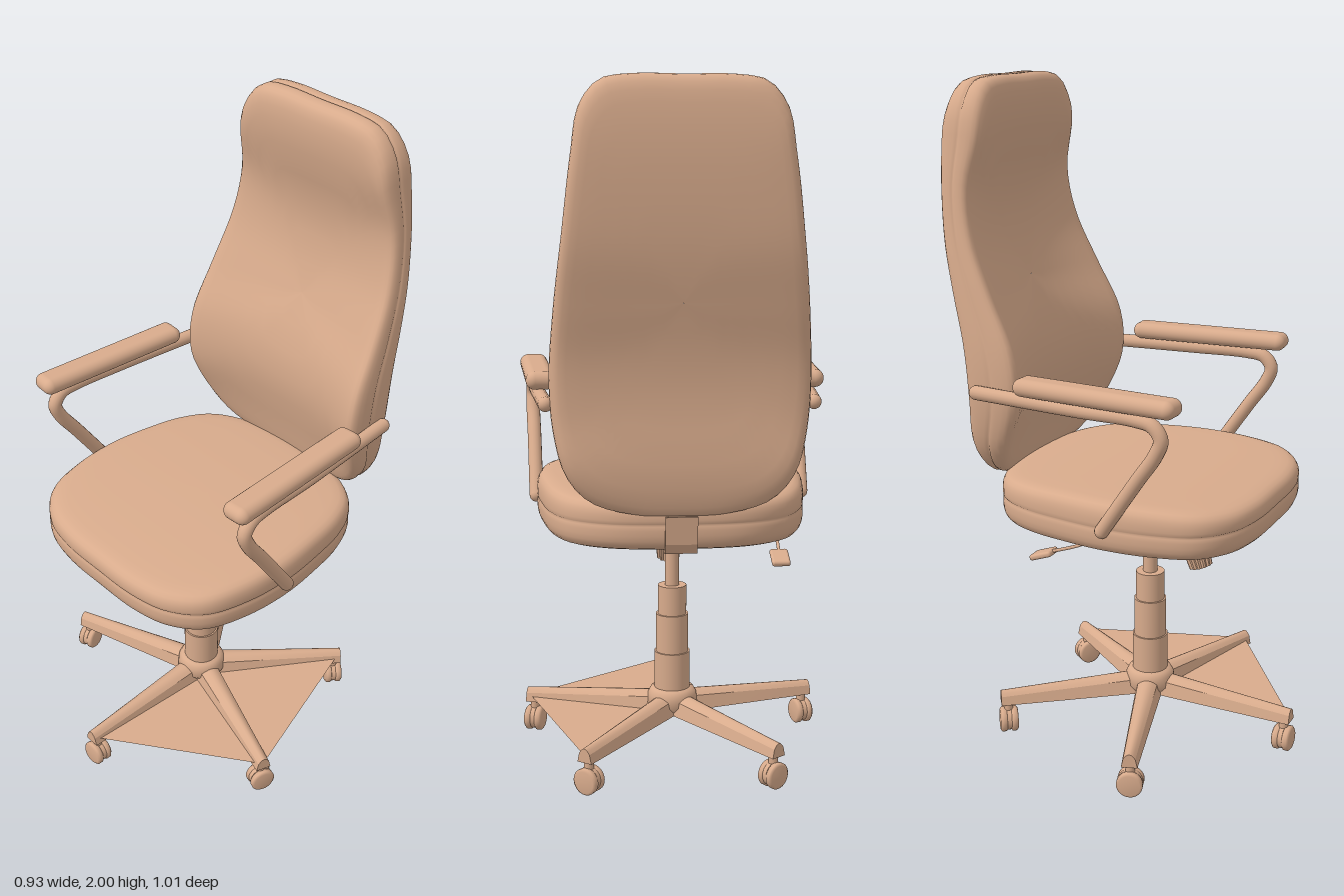
import * as THREE from 'three';
import { RoundedBoxGeometry } from 'three/addons/geometries/RoundedBoxGeometry.js';

const TAN = 0xd8ab8c;
const smooth = new THREE.MeshStandardMaterial({ color: TAN });
const flat = new THREE.MeshStandardMaterial({ color: TAN, flatShading: true });
const sheet = new THREE.MeshStandardMaterial({ color: TAN, side: THREE.DoubleSide });
const V = (x, y, z) => new THREE.Vector3(x, y, z);
const points2 = list => list.map(([x, y]) => new THREE.Vector2(x, y));
const lerp = THREE.MathUtils.lerp;

function add(parent, name, geometry, x = 0, y = 0, z = 0, material = smooth) {
  const mesh = new THREE.Mesh(geometry, material);
  mesh.name = name;
  mesh.position.set(x, y, z);
  parent.add(mesh);
  return mesh;
}

// Edge profile of a cushion: [outline scale, depth -1..1], with a fine seam at depth 0
const HALF = [[0.99, 0], [0.998, 0.05], [1, 0.2], [1, 0.4], [0.994, 0.6], [0.982, 0.76], [0.96, 0.89], [0.925, 0.96],
  [0.87, 0.99], [0.75, 1], [0.6, 1], [0.45, 1], [0.3, 1], [0.15, 1], [0.001, 1]];
const PROFILE = [...HALF.slice(1).reverse().map(([s, d]) => [s, -d]), ...HALF];

// Cushion from half an outline (bottom to top, right side), shaped by map(u, v, depth)
function cushion(half, centerV, map) {
  const mirrored = half.slice(1, -1).reverse().map(([u, v]) => [-u, v]);
  const curve = new THREE.CatmullRomCurve3([...half, ...mirrored].map(([u, v]) => V(u, v, 0)), true);
  const n = 96, outline = curve.getSpacedPoints(n).slice(0, n);
  const pos = [], index = [];
  PROFILE.forEach(([s, d], i) => {
    outline.forEach((p, j) => {
      pos.push(...map(p.x * s, centerV + (p.y - centerV) * s, d));
      if (i === 0) return;
      const a = (i - 1) * n + j, b = (i - 1) * n + (j + 1) % n;
      index.push(a, b, b + n, a, b + n, a + n);
    });
  });
  const g = new THREE.BufferGeometry();
  g.setAttribute('position', new THREE.Float32BufferAttribute(pos, 3));
  g.setIndex(index);
  g.computeVertexNormals();
  return g;
}

function seatGeometry() {
  const half = [[0, -0.437], [0.15, -0.433], [0.265, -0.405], [0.352, -0.335], [0.394, -0.21], [0.405, -0.06],
    [0.39, 0.08], [0.362, 0.21], [0.31, 0.305], [0.2, 0.37], [0, 0.39]];
  return cushion(half, 0, (u, v, d) =>
    [u, 0.793 + d * 0.077 - Math.max(d, 0) * 0.1 * v * v, -v]);
}

function backGeometry() {
  const half = [[0, 0.82], [0.13, 0.825], [0.25, 0.86], [0.315, 0.93], [0.35, 1.05], [0.36, 1.2], [0.345, 1.4],
    [0.32, 1.6], [0.295, 1.8], [0.273, 1.92], [0.22, 1.985], [0.14, 2], [0, 2]];
  // front z at the wings, back z and wing curl, every 0.15 up from y = 0.8
  const spine = new THREE.CatmullRomCurve3([
    V(-0.32, -0.395, 0.05), V(-0.28, -0.417, 0.06), V(-0.236, -0.408, 0.07),
    V(-0.248, -0.418, 0.07), V(-0.316, -0.452, 0.06), V(-0.378, -0.485, 0.04),
    V(-0.4, -0.5, 0.02), V(-0.37, -0.505, 0.005), V(-0.37, -0.492, 0)], false, 'catmullrom');
  return cushion(half, 1.41, (x, y, d) => {
    const s = spine.getPoint(THREE.MathUtils.clamp((y - 0.8) / 1.2, 0, 1));
    return [x, y, lerp(s.y, s.x + s.z * ((x / 0.33) ** 2 - 1), (d + 1) / 2)];
  });
}

// Tapered leg running along +z, arched across the top
function legGeometry() {
  const g = new THREE.BoxGeometry(1, 1, 1, 6, 1, 4), p = g.attributes.position;
  for (let i = 0; i < p.count; i++) {
    const t = p.getZ(i) + 0.5, x = p.getX(i), top = p.getY(i) > 0;
    p.setXYZ(i, x * lerp(0.085, 0.048, t) * (top ? 0.75 : 1),
      top ? lerp(0.17, 0.14, t) - 0.06 * x * x : lerp(0.11, 0.098, t), lerp(0.02, 0.475, t));
  }
  g.computeVertexNormals();
  return g;
}

function buildBase() {
  const base = new THREE.Group();
  base.name = 'base';
  for (let i = 0; i < 5; i++) {
    const leg = new THREE.Group();
    leg.name = 'starLeg';
    leg.rotation.y = i * Math.PI * 2 / 5;
    add(leg, 'legBeam', legGeometry());
    add(leg, 'casterStem', new THREE.CylinderGeometry(0.014, 0.014, 0.07, 16), 0, 0.075, 0.452);
    const hood = new THREE.CylinderGeometry(0.036, 0.036, 0.014, 24).rotateX(Math.PI / 2);
    add(leg, 'casterHousing', hood, 0, 0.042, 0.452);
    for (const s of [-1, 1]) {
      const wheel = new THREE.LatheGeometry(points2([[0, -0.012], [0.032, -0.012], [0.039, -0.006], [0.039, 0.006],
        [0.032, 0.012], [0, 0.012]]), 28).rotateX(Math.PI / 2);
      add(leg, 'casterWheel', wheel, 0, 0.04, 0.452 + s * 0.016);
    }
    base.add(leg);
  }
  // Thin web under one side of the star
  const corners = [0, 1, 2].map(k => [0.47 * Math.sin(k * Math.PI * 0.4), 0.47 * Math.cos(k * Math.PI * 0.4)]);
  const web = new THREE.Shape(points2([[0, 0], ...corners]));
  add(base, 'baseWeb', new THREE.ShapeGeometry(web).rotateX(Math.PI / 2), 0, 0.115, 0, sheet);

  // Hub and stepped gas column
  const hub = new THREE.LatheGeometry(points2([[0, 0.108], [0.06, 0.108], [0.078, 0.135], [0.075, 0.165],
    [0.066, 0.182], [0.05, 0.186]]), 40);
  add(base, 'hub', hub);
  [[0.055, 0.17, 0.3], [0.05, 0.3, 0.42], [0.044, 0.42, 0.51], [0.022, 0.51, 0.71]].forEach(([r, y0, y1]) =>
    add(base, 'columnSection', new THREE.CylinderGeometry(r, r, y1 - y0, 36), 0, (y0 + y1) / 2, 0));
  base.position.set(-0.005, 0, 0.025);
  return base;
}

function buildMechanism() {
  const m = new THREE.Group();
  m.name = 'mechanism';
  add(m, 'tiltBox', new RoundedBoxGeometry(0.085, 0.03, 0.24, 3, 0.01), 0, 0.698, 0.07);
  // Four-armed plate under the seat
  const star = new THREE.Shape(points2([[0.13, 0.19], [0.1, 0.2], [0, 0.08], [-0.1, 0.2], [-0.13, 0.19], [-0.06, 0],
    [-0.13, -0.17], [-0.1, -0.18], [0, -0.08], [0.1, -0.18], [0.13, -0.17], [0.06, 0]]));
  const plate = new THREE.ExtrudeGeometry(star, { depth: 0.014, bevelEnabled: false }).rotateX(-Math.PI / 2);
  add(m, 'mountingPlate', plate, 0, 0.704, 0);

  // Ribbed tension knob
  const knob = new THREE.CylinderGeometry(0.048, 0.036, 0.12, 36, 1), p = knob.attributes.position;
  for (let i = 0; i < p.count; i++) {
    const a = Math.atan2(p.getX(i), p.getZ(i)), k = Math.round(a / (Math.PI / 18)) % 3 === 0 ? 0.88 : 1;
    p.setX(i, p.getX(i) * k);
    p.setZ(i, p.getZ(i) * k);
  }
  add(m, 'tensionKnob', knob, -0.005, 0.613, 0.178, flat).rotation.x = -0.3;
  add(m, 'knobCollar', new THREE.CylinderGeometry(0.03, 0.048, 0.03, 24), -0.005, 0.683, 0.157).rotation.x = -0.3;

  // Height lever with paddle
  const rod = new THREE.CatmullRomCurve3([V(-0.03, 0.702, 0), V(-0.16, 0.698, -0.02), V(-0.29, 0.694, -0.045),
    V(-0.308, 0.685, -0.07), V(-0.308, 0.648, -0.17)]);
  add(m, 'leverRod', new THREE.TubeGeometry(rod, 30, 0.005, 8));
  add(m, 'leverPaddle', new RoundedBoxGeometry(0.055, 0.018, 0.075, 2, 0.008), -0.308, 0.642, -0.18).rotation.x = -0.35;

  // Bent strap joining seat and back
  const strap = new THREE.Shape(points2([[0.1, 0.702], [0.34, 0.702], [0.378, 0.71], [0.397, 0.74], [0.408, 0.82],
    [0.396, 0.82], [0.386, 0.745], [0.37, 0.72], [0.34, 0.712], [0.1, 0.712]]));
  const g = new THREE.ExtrudeGeometry(strap, { depth: 0.09, bevelEnabled: false }).translate(0, 0, -0.045);
  add(m, 'backStrap', g.rotateY(Math.PI / 2));
  return m;
}

function buildArm(side) {
  const arm = new THREE.Group();
  arm.name = side > 0 ? 'leftArm' : 'rightArm';
  const path = new THREE.CatmullRomCurve3([V(0.37, 1.13, -0.355), V(0.385, 1.13, -0.2), V(0.403, 1.13, 0),
    V(0.413, 1.13, 0.17), V(0.417, 1.12, 0.225), V(0.418, 1.085, 0.25), V(0.418, 1.04, 0.235),
    V(0.414, 0.96, 0.18), V(0.408, 0.79, 0.065)].map(v => v.setX(v.x * side)));
  add(arm, 'armTube', new THREE.TubeGeometry(path, 80, 0.021, 16));
  for (const t of [0, 1]) add(arm, 'tubeEnd', new THREE.SphereGeometry(0.021, 16, 12), ...path.getPoint(t).toArray());
  const pad = new RoundedBoxGeometry(0.085, 0.052, 0.51, 6, 0.026);
  add(arm, 'armPad', pad, side * 0.4, 1.174, 0.045).rotation.y = side * 0.066;
  return arm;
}

export function createModel() {
  const chair = new THREE.Group();
  chair.name = 'officeChair';
  chair.add(buildBase(), buildMechanism(), buildArm(1), buildArm(-1));
  add(chair, 'seat', seatGeometry());
  add(chair, 'backrest', backGeometry());
  return chair;
}
